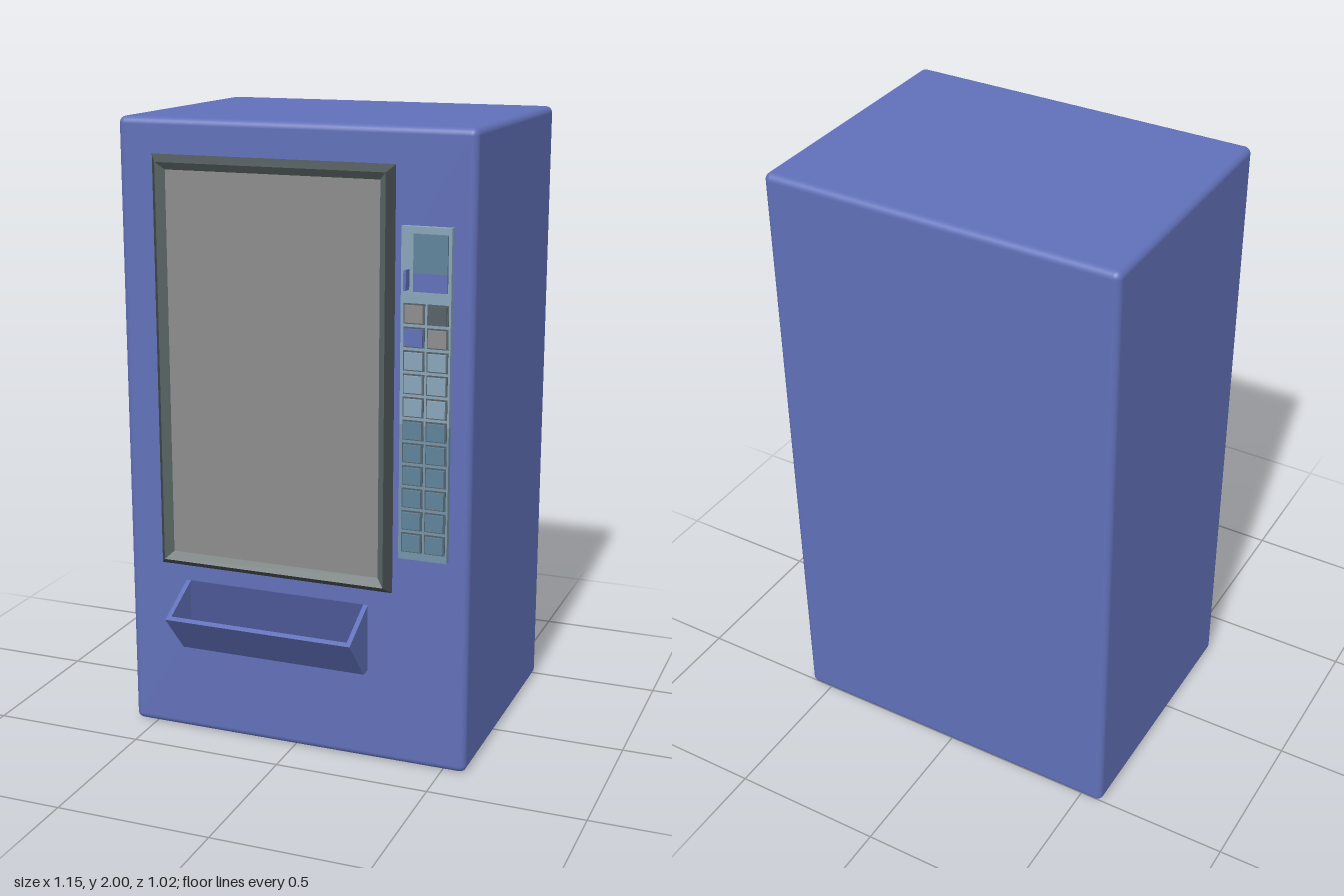
import * as THREE from 'three';
import { RoundedBoxGeometry } from 'three/addons/geometries/RoundedBoxGeometry.js';

const mat = (name, color, side = THREE.FrontSide) => {
  const m = new THREE.MeshStandardMaterial({ color, side });
  m.name = name;
  return m;
};

export function createModel() {
  const blue = mat('cabinetBlue', 0x6070b8);
  const shadeBlue = mat('deepBlue', 0x4a5694);
  const glassGrey = mat('windowGrey', 0x8c8c8c);
  const frameDark = mat('frameDark', 0x434b4c, THREE.DoubleSide);
  const frameLight = mat('frameGrey', 0x5c6867, THREE.DoubleSide);
  const paleSteel = mat('paleSteel', 0x88a4b8);
  const midSteel = mat('midSteel', 0x7393a8);
  const steel = mat('steelBlue', 0x5f8299);
  const charcoal = mat('charcoal', 0x566066);

  const model = new THREE.Group();
  model.name = 'vendingMachine';
  const FRONT = 0.35;

  const add = (name, geometry, material, parent = model) => {
    const mesh = new THREE.Mesh(geometry, material);
    mesh.name = name;
    parent.add(mesh);
    return mesh;
  };
  // Box given by its minimum and maximum on each axis
  const block = (name, x0, x1, y0, y1, z0, z1, material, parent) => {
    const g = new THREE.BoxGeometry(x1 - x0, y1 - y0, z1 - z0);
    g.translate((x0 + x1) / 2, (y0 + y1) / 2, (z0 + z1) / 2);
    return add(name, g, material, parent);
  };
  // Sloping rectangular ring: each side is one flat trapezoid
  const ring = (rect, inset0, z0, inset1, z1) => {
    const [x0, x1, y0, y1] = rect;
    const corners = (i, z) => [
      [x0 + i, y0 + i, z], [x1 - i, y0 + i, z], [x1 - i, y1 - i, z], [x0 + i, y1 - i, z],
    ];
    const a = corners(inset0, z0), b = corners(inset1, z1), pos = [];
    for (let i = 0; i < 4; i++) {
      const j = (i + 1) % 4;
      pos.push(...a[i], ...a[j], ...b[j], ...a[i], ...b[j], ...b[i]);
    }
    const g = new THREE.BufferGeometry();
    g.setAttribute('position', new THREE.Float32BufferAttribute(pos, 3));
    g.computeVertexNormals();
    return g;
  };
  // Extrude a (z, y) profile along x from x0 to x1
  const prism = (points, x0, x1) => {
    const shape = new THREE.Shape(points.map(([z, y]) => new THREE.Vector2(-z, y)));
    const g = new THREE.ExtrudeGeometry(shape, { depth: x1 - x0, bevelEnabled: false });
    g.rotateY(Math.PI / 2);
    g.translate(x0, 0, 0);
    return g;
  };

  // Cabinet
  const body = add('cabinet', new RoundedBoxGeometry(1.15, 2, 0.86, 4, 0.022), blue);
  body.position.set(0, 1, -0.08);

  // Display window with ridged frame
  const display = new THREE.Group();
  display.name = 'displayWindow';
  model.add(display);
  const rect = [-0.46, 0.33, 0.57, 1.89];
  add('frameOuter', ring(rect, 0, FRONT, 0.022, 0.378), frameDark, display);
  add('frameInner', ring(rect, 0.022, 0.378, 0.046, 0.356), frameLight, display);
  block('windowPane', -0.416, 0.286, 0.614, 1.846, FRONT - 0.003, 0.356, glassGrey, display);

  // Control panel
  const panel = new THREE.Group();
  panel.name = 'controlPanel';
  model.add(panel);
  block('panelUpper', 0.355, 0.51, 1.12, 1.715, FRONT - 0.01, 0.37, paleSteel, panel);
  block('panelLower', 0.355, 0.51, 0.695, 1.12, FRONT - 0.01, 0.37, midSteel, panel);
  block('screenUpper', 0.395, 0.5, 1.58, 1.695, 0.365, 0.378, steel, panel);
  block('screenLower', 0.395, 0.5, 1.525, 1.58, 0.365, 0.378, blue, panel);
  block('coinLever', 0.373, 0.381, 1.53, 1.59, 0.365, 0.402, blue, panel);

  // Two columns of keys, each with a dark surround
  const special = [[glassGrey, charcoal], [blue, glassGrey]];
  for (let row = 0; row < 11; row++) {
    for (let col = 0; col < 2; col++) {
      const x = 0.398 + col * 0.073, y = 1.458 - row * 0.0708;
      const colour = special[row] ? special[row][col] : row < 5 ? paleSteel : steel;
      block('keySurround', x - 0.033, x + 0.033, y - 0.031, y + 0.031, 0.365, 0.3715, charcoal, panel);
      block('key', x - 0.028, x + 0.028, y - 0.026, y + 0.026, 0.365, 0.379, colour, panel);
    }
  }

  // Delivery tray, open at the top
  const tray = new THREE.Group();
  tray.name = 'deliveryTray';
  model.add(tray);
  const side = [[FRONT - 0.005, 0.522], [0.51, 0.44], [0.385, 0.3], [FRONT - 0.005, 0.3]];
  add('traySideRight', prism(side, -0.375, -0.36), blue, tray);
  add('traySideLeft', prism(side, 0.235, 0.25), blue, tray);
  const flap = [[0.51, 0.44], [0.385, 0.3], [FRONT - 0.005, 0.3], [FRONT - 0.005, 0.314],
    [0.378, 0.314], [0.495, 0.4475]];
  add('trayFlap', prism(flap, -0.36, 0.235), blue, tray);
  block('trayBack', -0.36, 0.235, 0.314, 0.52, FRONT - 0.004, FRONT + 0.003, shadeBlue, tray);

  return model;
}
